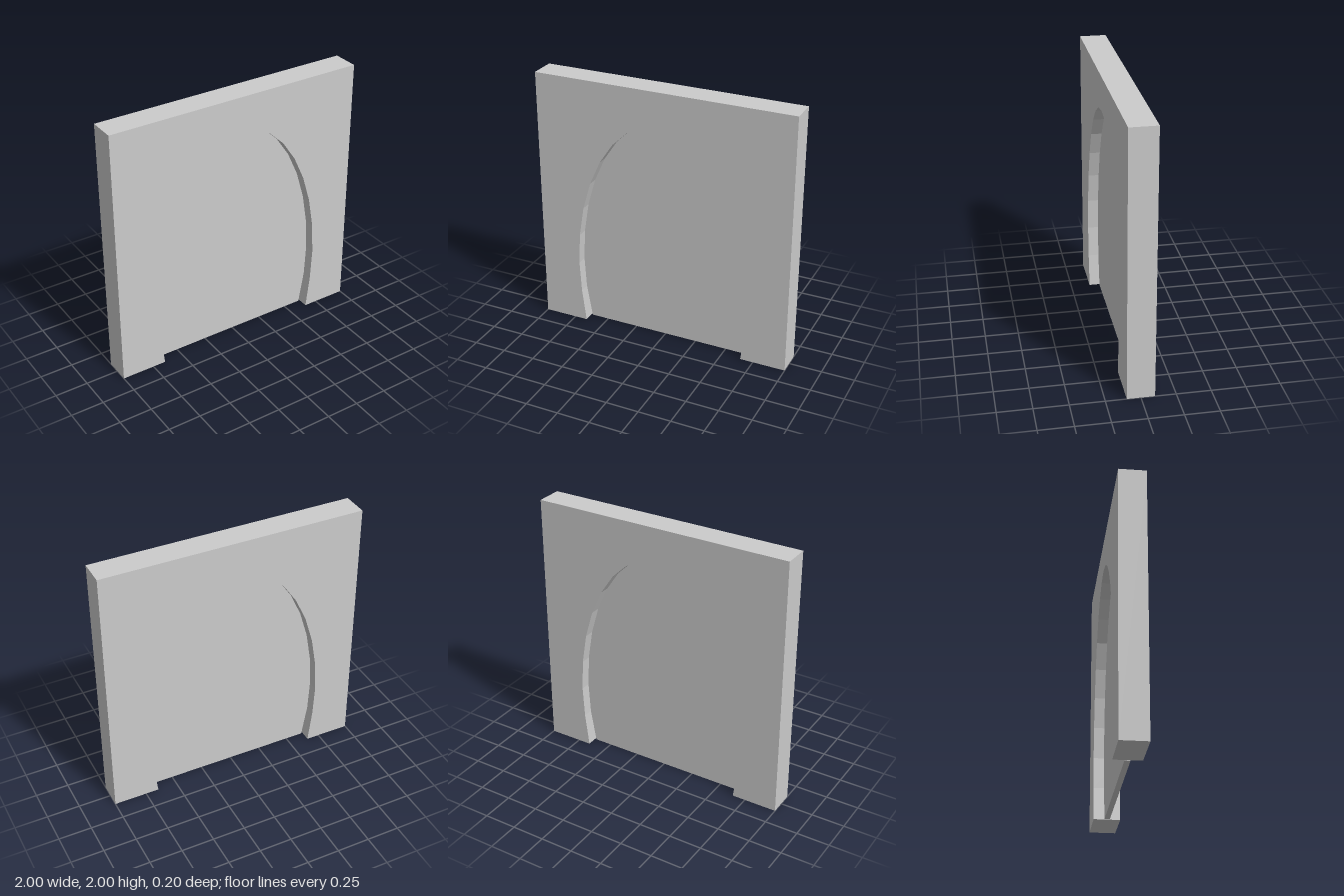
import * as THREE from 'three';

const RX = 0.695, RY = 1.25, CY = 0.5; // arch ellipse
const STEP = Math.PI / 16;

// Faceted arch outline from the right foot over the crown to the left foot
function archPoints(footX) {
  const pts = [new THREE.Vector2(footX, 0)];
  for (let k = 9; k >= -9; k--) {
    pts.push(new THREE.Vector2(RX * Math.sin(k * STEP), CY + RY * Math.cos(k * STEP)));
  }
  pts.push(new THREE.Vector2(-footX, 0));
  return pts;
}

function slab(name, points, depth) {
  const geometry = new THREE.ExtrudeGeometry(new THREE.Shape(points), {
    depth, bevelEnabled: false, steps: 1,
  });
  geometry.translate(0, 0, -depth / 2);
  const material = new THREE.MeshStandardMaterial({ color: 0xcccccc, flatShading: true });
  const mesh = new THREE.Mesh(geometry, material);
  mesh.name = name;
  return mesh;
}

export function createModel() {
  const group = new THREE.Group();
  group.name = 'archedWall';

  // Wall with an arched opening that is open at the floor
  const wall = [
    new THREE.Vector2(-1, 0), new THREE.Vector2(-1, 2),
    new THREE.Vector2(1, 2), new THREE.Vector2(1, 0),
    ...archPoints(0.65),
  ];
  group.add(slab('wall', wall, 0.2));

  // Thin panel filling the arch, recessed on both sides, slightly narrower at its foot
  group.add(slab('archPanel', archPoints(0.638), 0.04));

  return group;
}
